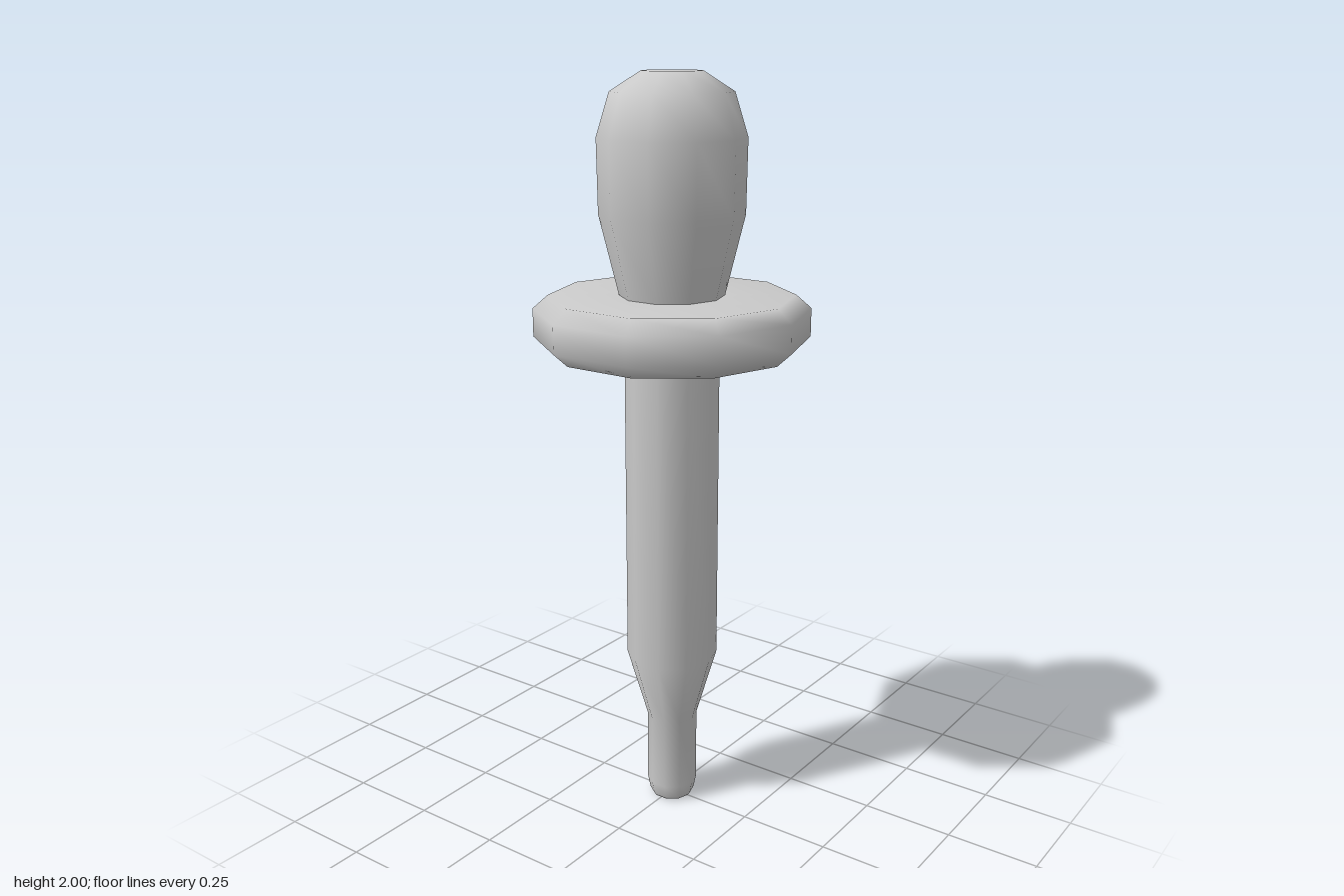
import * as THREE from 'three';

const SIDES = 10;
const material = new THREE.MeshStandardMaterial({ color: 0xcccccc });

// Revolves a [radius, height] profile, listed so that the outside runs upwards.
function turned(name, profile) {
  const points = profile.map(([r, y]) => new THREE.Vector2(r, y));
  const mesh = new THREE.Mesh(new THREE.LatheGeometry(points, SIDES), material);
  mesh.name = name;
  return mesh;
}

export function createModel() {
  const model = new THREE.Group();
  model.name = 'dropper';

  // Tapered tube with a narrow bore open at the tip
  model.add(turned('tube', [
    [0, 0.25], [0.033, 0.25], [0.033, 0.01], [0.036, 0],
    [0.055, 0], [0.062, 0.01], [0.069, 0.045],
    [0.069, 0.25], [0.124, 0.44], [0.124, 1.34],
  ]));

  // Wide collar with bevelled rim
  model.add(turned('collar', [
    [0.1, 1.3], [0.32, 1.3], [0.36, 1.336],
    [0.36, 1.41], [0.32, 1.445], [0.1, 1.445],
  ]));

  // Squeeze bulb
  model.add(turned('bulb', [
    [0.132, 1.42], [0.138, 1.45], [0.187, 1.65], [0.19, 1.84],
    [0.156, 1.95], [0.077, 2], [0, 2],
  ]));

  return model;
}
